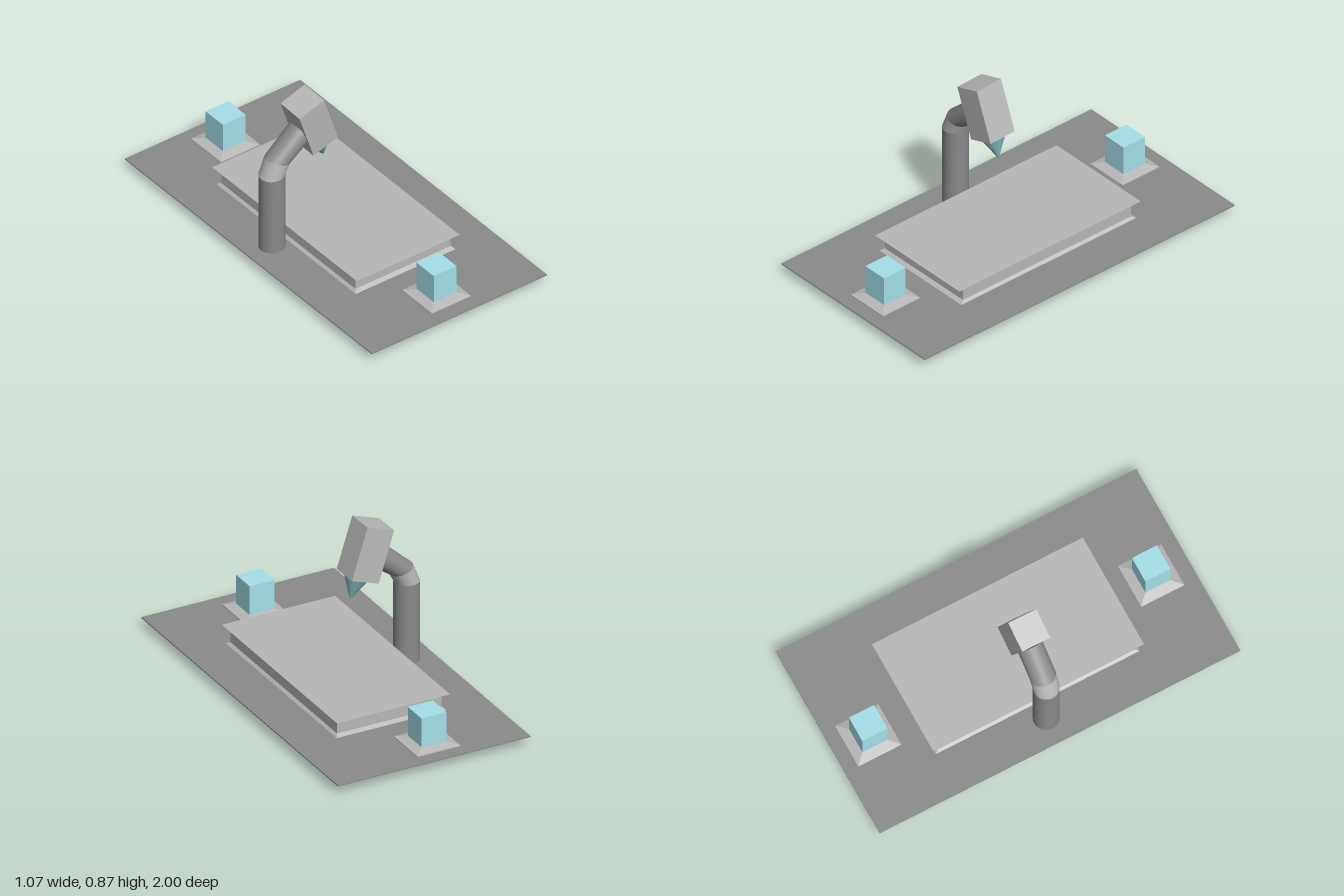
import * as THREE from 'three';
import { mergeGeometries } from 'three/addons/utils/BufferGeometryUtils.js';

const grey = new THREE.MeshStandardMaterial({ color: 0xb7b7b7 });
const darkGrey = new THREE.MeshStandardMaterial({ color: 0x8a8a8a });
const aqua = new THREE.MeshStandardMaterial({ color: 0xa4e0e8 });
const deepAqua = new THREE.MeshStandardMaterial({ color: 0x86bcc4 });

function piece(points, index, smooth) {
  const g = new THREE.BufferGeometry().setFromPoints(points);
  g.setIndex(index);
  const out = smooth ? g : g.toNonIndexed();
  out.computeVertexNormals();
  return out;
}

// Capped skin through closed rings; each band keeps a crisp edge to the next.
function loft(rings, smooth) {
  const n = rings[0].length;
  const parts = [];
  for (let i = 0; i < rings.length - 1; i++) {
    const index = [];
    for (let j = 0; j < n; j++) {
      const k = (j + 1) % n;
      index.push(j, n + j, k, k, n + j, n + k);
    }
    parts.push(piece([...rings[i], ...rings[i + 1]], index, smooth));
  }
  const bottom = [], top = [];
  for (let j = 1; j < n - 1; j++) {
    bottom.push(0, j, j + 1);
    top.push(0, j + 1, j);
  }
  parts.push(piece(rings[0], bottom, smooth), piece(rings[rings.length - 1], top, smooth));
  return mergeGeometries(parts);
}

const rectRing = ([y, hx, hz]) =>
  [[1, 1], [-1, 1], [-1, -1], [1, -1]].map(([sx, sz]) => new THREE.Vector3(sx * hx, y, sz * hz));

// Round section spanning two side points in the xy plane
function pipeRing([ax, ay, bx, by]) {
  const radius = 0.066, sides = 32;
  return Array.from({ length: sides }, (_, j) => {
    const t = (j / sides) * Math.PI * 2, c = Math.cos(t) / 2;
    return new THREE.Vector3((ax + bx) / 2 + (bx - ax) * c, (ay + by) / 2 + (by - ay) * c, radius * Math.sin(t));
  });
}

function add(parent, name, geometry, material, x = 0, y = 0, z = 0) {
  const mesh = new THREE.Mesh(geometry, material);
  mesh.name = name;
  mesh.position.set(x, y, z);
  parent.add(mesh);
  return mesh;
}

export function createModel() {
  const model = new THREE.Group();
  model.name = 'workStation';

  // Thin floor sheet
  add(model, 'basePlate', new THREE.BoxGeometry(1.072, 0.006, 2), darkGrey, 0, 0.048, 0);

  // Low table with flared foot and overhanging top
  const table = [[0.05, 0.307, 0.567], [0.063, 0.291, 0.543], [0.124, 0.291, 0.543], [0.145, 0.315, 0.585]];
  add(model, 'table', loft(table.map(rectRing), false), grey);

  // Blocks on bevelled pedestals at both ends
  const pedestal = [[0.05, 0.12, 0.12], [0.056, 0.12, 0.12], [0.071, 0.07, 0.07]];
  for (const [name, x, z] of [['front', 0.011, 0.8], ['back', -0.064, -0.81]]) {
    add(model, name + 'Pedestal', loft(pedestal.map(rectRing), false), grey, x, 0, z);
    add(model, name + 'Block', new THREE.BoxGeometry(0.139, 0.159, 0.139), aqua, x, 0.15, z);
  }

  // Bent support pipe: post, lighter elbow, arm
  const rings = [
    [-0.459, 0, -0.327, 0],
    [-0.459, 0.483, -0.327, 0.488],
    [-0.42, 0.58, -0.3, 0.54],
    [-0.259, 0.726, -0.178, 0.623],
  ].map(pipeRing);
  const pipe = new THREE.Group();
  pipe.name = 'supportPipe';
  [['post', darkGrey], ['elbow', grey], ['arm', darkGrey]].forEach(([name, material], i) =>
    add(pipe, name, loft([rings[i], rings[i + 1]], true), material));
  model.add(pipe);

  // Tilted head with a pointed nozzle beneath
  const head = new THREE.Group();
  head.name = 'head';
  head.position.set(-0.164, 0.711, 0);
  head.rotation.set(0.035, 0, 0.33);
  add(head, 'headBox', new THREE.BoxGeometry(0.156, 0.284, 0.156), grey);
  const nozzle = add(head, 'nozzle', new THREE.ConeGeometry(0.066, 0.125, 32), deepAqua, 0.004, -0.202, 0.004);
  nozzle.rotation.x = Math.PI;
  model.add(head);

  return model;
}
